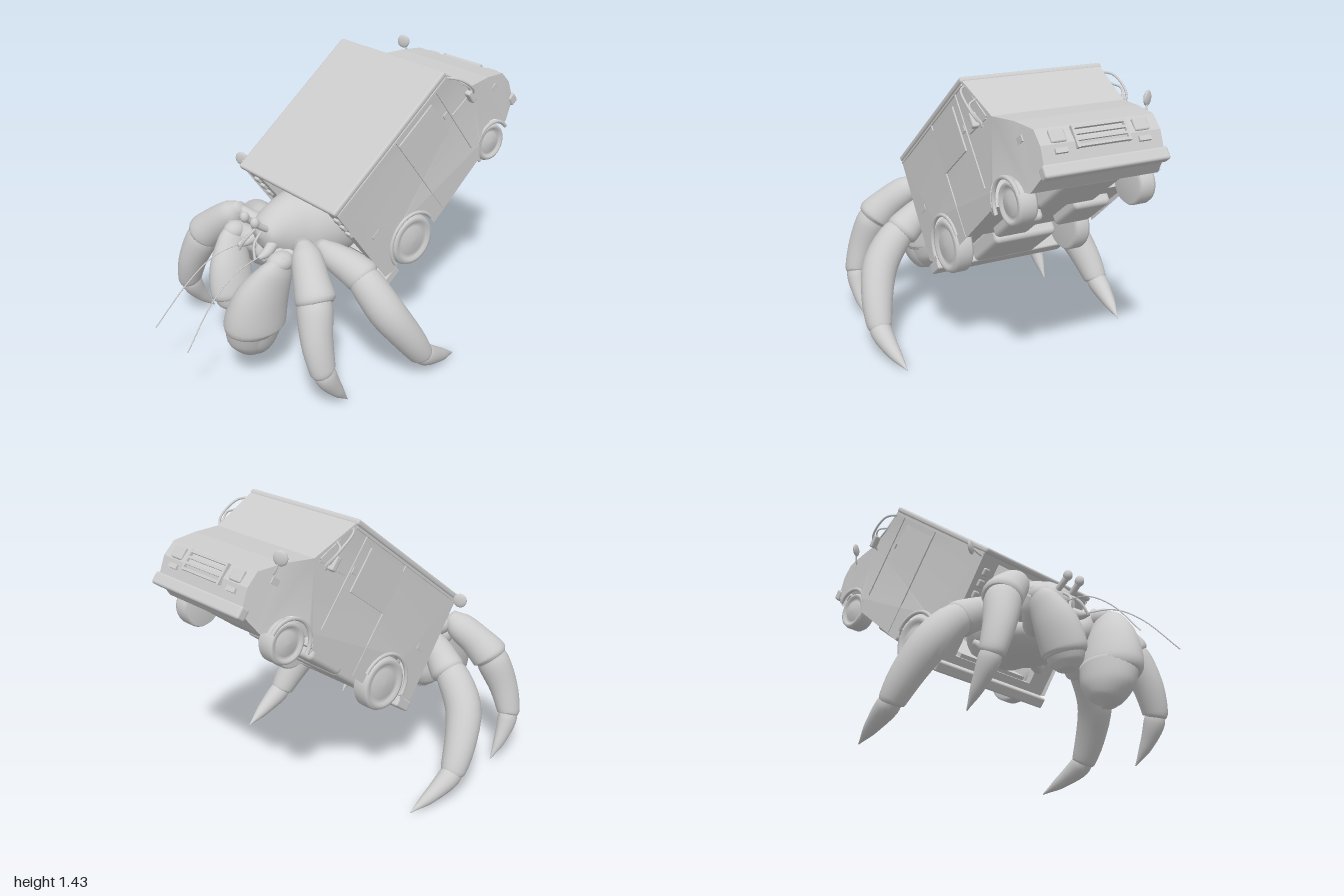
import * as THREE from 'three';
import { RoundedBoxGeometry } from 'three/addons/geometries/RoundedBoxGeometry.js';

const V = (x, y, z) => new THREE.Vector3(x, y, z);
const clay = new THREE.MeshStandardMaterial({ color: 0xcccccc, side: THREE.DoubleSide });
clay.name = 'pale grey';

function add(parent, name, geometry, x = 0, y = 0, z = 0) {
  const m = new THREE.Mesh(geometry, clay);
  m.name = name;
  m.position.set(x, y, z);
  parent.add(m);
  return m;
}

// Smooth organic segment: each station is [x, y, z, depth radius, width radius]
function limb(parent, name, stations, s = 1, steps = 18, sides = 20) {
  const path = new THREE.CatmullRomCurve3(stations.map(p => V(s * p[0], p[1], p[2])));
  const size = new THREE.CatmullRomCurve3(stations.map(p => V(p[3], p[4] ?? p[3], 0)), false, 'catmullrom', 0.4);
  const pos = [], index = [];
  for (let i = 0; i <= steps; i++) {
    const p = path.getPoint(i / steps), t = path.getTangent(i / steps), r = size.getPoint(i / steps);
    const a = V(1, 0, 0).cross(t).normalize(), b = t.clone().cross(a);
    for (let j = 0; j < sides; j++) {
      const q = j / sides * Math.PI * 2;
      const v = p.clone().addScaledVector(a, Math.max(r.x, 0.001) * Math.cos(q))
        .addScaledVector(b, Math.max(r.y, 0.001) * Math.sin(q));
      pos.push(v.x, v.y, v.z);
      if (i < steps) {
        const k = i * sides + j, n = i * sides + (j + 1) % sides;
        index.push(k, n, k + sides, n, n + sides, k + sides);
      }
    }
  }
  // end caps
  [0, steps].forEach((i, e) => {
    const c = path.getPoint(e), k = pos.length / 3;
    pos.push(c.x, c.y, c.z);
    for (let j = 0; j < sides; j++) {
      const p = i * sides + j, n = i * sides + (j + 1) % sides;
      e ? index.push(k, p, n) : index.push(k, n, p);
    }
  });
  const g = new THREE.BufferGeometry();
  g.setAttribute('position', new THREE.Float32BufferAttribute(pos, 3));
  g.setIndex(index);
  g.computeVertexNormals();
  return add(parent, name, g);
}

function ball(parent, name, x, y, z, rx, ry = rx, rz = rx) {
  return add(parent, name, new THREE.SphereGeometry(1, 24, 16).scale(rx, ry, rz), x, y, z);
}

function rod(parent, name, pts, r) {
  const curve = new THREE.CatmullRomCurve3(pts.map(p => V(...p)));
  return add(parent, name, new THREE.TubeGeometry(curve, 14, r, 8));
}

// Half width of the van at a distance u ahead of its open back
const half = u => 0.372 - 0.07 * THREE.MathUtils.clamp((u - 0.85) / 0.32, 0, 1);

// Sheet across the van following a side profile of [u, v] points
function ribbon(parent, name, profile, inset = 0) {
  const pos = [];
  for (let i = 0; i < profile.length - 1; i++) {
    const [[u, v], [U, W]] = [profile[i], profile[i + 1]], h = half(u) - inset, H = half(U) - inset;
    pos.push(-h, v, -u, h, v, -u, H, W, -U, -h, v, -u, H, W, -U, -H, W, -U);
  }
  const g = new THREE.BufferGeometry();
  g.setAttribute('position', new THREE.Float32BufferAttribute(pos, 3));
  g.computeVertexNormals();
  return add(parent, name, g);
}

function buildVan() {
  const van = new THREE.Group();
  van.name = 'vanShell';
  van.position.set(0, 0.905, 0.31);
  van.rotation.x = 0.6586;

  // Bodywork
  ribbon(van, 'frontSkin', [[0, -0.01], [0.866, -0.01], [0.979, -0.249], [1.1, -0.335], [1.195, -0.42],
    [1.205, -0.5], [1.173, -0.608], [1.054, -0.644]]);
  add(van, 'roof', new RoundedBoxGeometry(0.752, 0.03, 0.885, 3, 0.012), 0, -0.012, -0.43);
  add(van, 'floor', new THREE.BoxGeometry(0.44, 0.03, 1.08), 0, -0.535, -0.56);
  add(van, 'midFloor', new THREE.BoxGeometry(0.73, 0.03, 0.4), 0, -0.575, -0.57);
  const side = new THREE.Shape();
  side.moveTo(0, -0.01);
  [[0.85, -0.01], [0.866, -0.01], [0.979, -0.249], [1.1, -0.335], [1.195, -0.42], [1.205, -0.5],
    [1.173, -0.608], [1.054, -0.644], [1.023, -0.625]].forEach(p => side.lineTo(...p));
  side.absarc(0.898, -0.625, 0.125, 0, Math.PI, false);
  side.lineTo(0.767, -0.6);
  side.lineTo(0.364, -0.62);
  side.absarc(0.216, -0.572, 0.148, 0, Math.PI, false);
  side.lineTo(0.06, -0.6);
  side.lineTo(-0.02, -0.57);

  // Open back with its frame
  const frame = new THREE.Shape([[-0.37, -0.58], [0.37, -0.58], [0.37, -0.01], [-0.37, -0.01]].map(p => new THREE.Vector2(...p)));
  frame.holes.push(new THREE.Path([[-0.26, -0.54], [-0.26, -0.05], [0.26, -0.05], [0.26, -0.54]].map(p => new THREE.Vector2(...p))));
  add(van, 'backFrame', new THREE.ExtrudeGeometry(frame, { depth: 0.035, bevelEnabled: false }), 0, 0, -0.04);
  add(van, 'backBumper', new RoundedBoxGeometry(0.745, 0.055, 0.1, 2, 0.01), 0, -0.61, -0.01);
  add(van, 'frontBumper', new RoundedBoxGeometry(0.63, 0.06, 0.05, 2, 0.012), 0, -0.605, -1.17);

  for (const s of [-1, 1]) {
    const g = new THREE.ShapeGeometry(side, 20), p = g.attributes.position;
    for (let i = 0; i < p.count; i++) {
      const u = p.getX(i);
      p.setXYZ(i, s * half(u), p.getY(i), -u);
    }
    g.computeVertexNormals();
    add(van, 'sidePanel', g);

    // Wheels and arches: [u, v, radius, outer face]
    for (const [u, v, r, x] of [[0.898, -0.625, 0.1, 0.35], [0.216, -0.572, 0.134, 0.375]]) {
      const tyre = [[0, -0.06], [0.09, -0.06], [0.1, -0.045], [0.1, 0.015], [0.094, 0.03], [0.08, 0.035], [0.074, 0.022],
        [0.056, 0.018], [0.052, 0.03], [0, 0.034]].map(q => new THREE.Vector2(q[0] * r / 0.1, q[1]));
      add(van, 'wheel', new THREE.LatheGeometry(tyre, 36).rotateZ(-s * Math.PI / 2), s * (x - 0.03), v, -u);
      add(van, 'wheelArch', new THREE.TorusGeometry(r + 0.018, 0.01, 8, 28, Math.PI).rotateY(Math.PI / 2), s * half(u), v, -u);
    }
    // Door seams, window edges and rails
    const bar = (name, u, v, U, W, t = 0.005) => {
      const m = add(van, name, new THREE.BoxGeometry(0.006, t, Math.hypot(U - u, W - v)),
        s * half((u + U) / 2), (v + W) / 2, -(u + U) / 2);
      m.rotation.x = Math.atan2(W - v, U - u);
    };
    bar('doorSeam', 0.453, -0.03, 0.453, -0.61);
    bar('doorSeam', 0.775, -0.03, 0.775, -0.5);
    bar('gutter', 0, -0.035, 0.86, -0.035, 0.01);
    bar('quarterWindowEdge', 0.785, -0.24, 0.965, -0.25);
    bar('quarterWindowEdge', 0.865, -0.04, 0.96, -0.24);
    bar('markerLamp', 0.06, -0.325, 0.115, -0.325, 0.03);
    bar('markerLamp', 1.06, -0.42, 1.12, -0.42, 0.03);
    bar('doorHandle', 0.735, -0.2, 0.765, -0.2, 0.03);
    add(van, 'doorWindow', new THREE.BoxGeometry(0.008, 0.22, 0.265), s * 0.372, -0.18, -0.585);
    for (const v of [-0.11, -0.17, -0.23])
      add(van, 'tailLamp', new RoundedBoxGeometry(0.035, 0.04, 0.02, 2, 0.008), s * 0.315, v, 0);
    add(van, 'headlamp', new RoundedBoxGeometry(0.075, 0.06, 0.02, 2, 0.008), s * 0.21, -0.465, -1.203);
    add(van, 'indicator', new THREE.BoxGeometry(0.06, 0.022, 0.02), s * 0.21, -0.53, -1.197);
  }

  // Nose grille
  for (let i = 0; i < 4; i++)
    add(van, 'grilleBar', new THREE.BoxGeometry(0.26, 0.012, 0.025), 0, -0.44 - i * 0.028, -1.203);
  for (const s of [-1, 1])
    add(van, 'grilleEnd', new THREE.BoxGeometry(0.012, 0.1, 0.025), s * 0.13, -0.482, -1.203);
  // Windscreen
  const slope = new THREE.PlaneGeometry(0.58, 0.225);
  const sp = slope.attributes.position;
  for (let i = 0; i < 4; i++) {
    const k = sp.getY(i) > 0 ? 0 : 1;
    sp.setXYZ(i, Math.sign(sp.getX(i)) * (0.3 - 0.04 * k), -0.03 - 0.2 * k, -(0.881 + 0.09 * k));
  }
  slope.computeVertexNormals();
  add(van, 'windscreen', slope);

  // Underbody tanks: [x, u, width, length]
  for (const [x, u, w, l] of [[0, 0.2, 0.34, 0.3], [0, 0.91, 0.3, 0.28], [0.13, 0.53, 0.18, 0.2], [-0.2, 0.57, 0.2, 0.24]])
    add(van, 'underbodyTank', new RoundedBoxGeometry(w, 0.1, l, 4, 0.025), x, -0.59, -u);
  return van;
}

export function createModel() {
  const model = new THREE.Group();
  model.name = 'hermitCrabVan';
  model.add(buildVan());

  // Mirrors
  for (const s of [-1, 1]) {
    rod(model, 'mirrorBracket', [[s * 0.36, 1.4, -0.4], [s * 0.405, 1.39, -0.45], [s * 0.405, 1.31, -0.56], [s * 0.36, 1.25, -0.57]], 0.006);
    rod(model, 'mirrorBrace', [[s * 0.36, 1.36, -0.5], [s * 0.4, 1.34, -0.52], [s * 0.37, 1.27, -0.58]], 0.005);
    add(model, 'sideMirror', new RoundedBoxGeometry(0.035, 0.07, 0.03, 2, 0.008), s * 0.395, 1.28, -0.55).rotation.x = 0.66;
  }
  for (const [x, y, z, bx, by, bz] of [[-0.34, 1.35, -0.8, -0.29, 1.27, -0.82], [-0.43, 0.905, 0.26, -0.33, 0.87, 0.27]]) {
    rod(model, 'mirrorStalk', [[bx, by, bz], [(x + bx) / 2, by + 0.01, bz], [x, y, z]], 0.005);
    ball(model, 'roundMirror', x, y, z, 0.034, 0.036, 0.012).rotation.y = 0.5;
  }

  // Crab body
  limb(model, 'carapace', [[0, 0.64, -0.12, 0.1, 0.1], [0, 0.66, 0, 0.19, 0.2], [0, 0.675, 0.12, 0.205, 0.21],
    [0, 0.68, 0.22, 0.195, 0.185], [0, 0.69, 0.31, 0.17, 0.145], [0, 0.7, 0.4, 0.125, 0.11],
    [0, 0.705, 0.46, 0.07, 0.08], [0, 0.705, 0.485, 0.01, 0.01]], 1, 32, 36);
  ball(model, 'thorax', 0, 0.56, 0.19, 0.21, 0.1, 0.2);

  for (const s of [-1, 1]) {
    // Face
    limb(model, 'eyeStalk', [[0.045, 0.73, 0.44, 0.016], [0.044, 0.765, 0.49, 0.016], [0.042, 0.79, 0.52, 0.017]], s);
    ball(model, 'eye', s * 0.042, 0.797, 0.525, 0.022, 0.027, 0.024);
    limb(model, 'antennaBase', [[0.06, 0.67, 0.43, 0.03], [0.08, 0.64, 0.49, 0.024], [0.085, 0.63, 0.54, 0.01]], s);
    rod(model, 'antenna', [[s * 0.085, 0.64, 0.52], [s * 0.1, 0.61, 0.68], [s * 0.11, 0.51, 0.83], [s * 0.14, 0.32, 1]], 0.003);
    rod(model, 'feeler', [[s * 0.02, 0.74, 0.46], [s * 0.035, 0.68, 0.53], [s * 0.065, 0.62, 0.55]], 0.007);
    limb(model, 'mouthpart', [[0.03, 0.64, 0.4, 0.03], [0.04, 0.58, 0.44, 0.028], [0.02, 0.53, 0.43, 0.012]], s);
    ball(model, 'cheek', s * 0.09, 0.61, 0.42, 0.035);

    // Front walking leg
    limb(model, 'frontLegHip', [[0.08, 0.61, 0.25, 0.05], [0.17, 0.65, 0.34, 0.05], [0.27, 0.71, 0.4, 0.035]], s);
    limb(model, 'frontLegThigh', [[0.25, 0.74, 0.4, 0.035, 0.03], [0.3, 0.69, 0.42, 0.075, 0.07], [0.38, 0.62, 0.46, 0.085, 0.085],
      [0.45, 0.55, 0.49, 0.098, 0.095], [0.465, 0.53, 0.495, 0.08, 0.08]], s);
    limb(model, 'frontLegShin', [[0.445, 0.56, 0.49, 0.075, 0.075], [0.47, 0.5, 0.51, 0.085, 0.085], [0.52, 0.37, 0.54, 0.078, 0.07],
      [0.56, 0.24, 0.54, 0.065, 0.055], [0.562, 0.225, 0.535, 0.05, 0.045]], s);
    limb(model, 'frontLegTip', [[0.56, 0.26, 0.54, 0.045, 0.04], [0.565, 0.2, 0.525, 0.055, 0.048], [0.57, 0.1, 0.465, 0.035, 0.03],
      [0.567, 0.012, 0.395, 0.003]], s);

    // Rear walking leg
    limb(model, 'rearLegHip', [[0.08, 0.57, 0.16, 0.055], [0.16, 0.6, 0.22, 0.055], [0.24, 0.65, 0.26, 0.04]], s);
    limb(model, 'rearLegThigh', [[0.21, 0.67, 0.27, 0.03], [0.28, 0.63, 0.25, 0.065], [0.36, 0.59, 0.215, 0.08],
      [0.43, 0.55, 0.185, 0.088], [0.45, 0.535, 0.18, 0.07]], s);
    limb(model, 'rearLegShin', [[0.41, 0.56, 0.19, 0.07], [0.47, 0.52, 0.185, 0.085], [0.57, 0.4, 0.15, 0.09], [0.63, 0.25, 0.06, 0.078],
      [0.65, 0.14, -0.01, 0.062], [0.65, 0.125, -0.018, 0.045]], s);
    limb(model, 'rearLegTip', [[0.65, 0.155, 0.01, 0.045], [0.652, 0.12, -0.04, 0.056, 0.054], [0.64, 0.06, -0.16, 0.036, 0.035],
      [0.62, 0.01, -0.277, 0.003]], s);

    // Small hind leg tucked under the body and claw arm
    limb(model, 'hindLeg', [[0.1, 0.52, 0.15, 0.035], [0.17, 0.5, 0.12, 0.03], [0.22, 0.54, 0.06, 0.015]], s);
    limb(model, 'clawArm', [[0.06, 0.57, 0.3, 0.05], [0.13, 0.57, 0.38, 0.055], [0.18, 0.61, 0.43, 0.06], [0.21, 0.66, 0.47, 0.045]], s);
  }

  // Large left claw
  ball(model, 'largeClawWrist', 0.215, 0.655, 0.51, 0.055, 0.05, 0.07);
  limb(model, 'largeClawPalm', [[0.235, 0.695, 0.51, 0.02], [0.215, 0.61, 0.54, 0.095, 0.06], [0.165, 0.46, 0.595, 0.15, 0.105],
    [0.14, 0.34, 0.615, 0.165, 0.124], [0.135, 0.305, 0.615, 0.145, 0.11]], 1, 24, 28);
  limb(model, 'largeClawFixedFinger', [[0.13, 0.34, 0.61, 0.155, 0.118], [0.11, 0.25, 0.61, 0.138, 0.105], [0.097, 0.18, 0.605, 0.085, 0.075],
    [0.09, 0.145, 0.6, 0.008]], 1, 20, 28);
  limb(model, 'largeClawMovingFinger', [[0.17, 0.34, 0.6, 0.09, 0.09], [0.155, 0.25, 0.6, 0.09, 0.07], [0.12, 0.18, 0.59, 0.055, 0.05],
    [0.1, 0.147, 0.58, 0.008]], 1, 20, 24);

  // Small right claw
  ball(model, 'smallClawWrist', -0.2, 0.65, 0.48, 0.05, 0.05, 0.06);
  limb(model, 'smallClawPalm', [[-0.225, 0.69, 0.47, 0.02], [-0.195, 0.61, 0.5, 0.08, 0.055], [-0.155, 0.48, 0.545, 0.115, 0.08],
    [-0.125, 0.37, 0.56, 0.12, 0.084], [-0.12, 0.345, 0.56, 0.105, 0.074]], 1, 24, 28);
  limb(model, 'smallClawFingers', [[-0.125, 0.38, 0.56, 0.11, 0.078], [-0.112, 0.315, 0.56, 0.09, 0.064], [-0.11, 0.28, 0.56, 0.05, 0.04],
    [-0.11, 0.265, 0.56, 0.006]], 1, 20, 24);
  return model;
}
